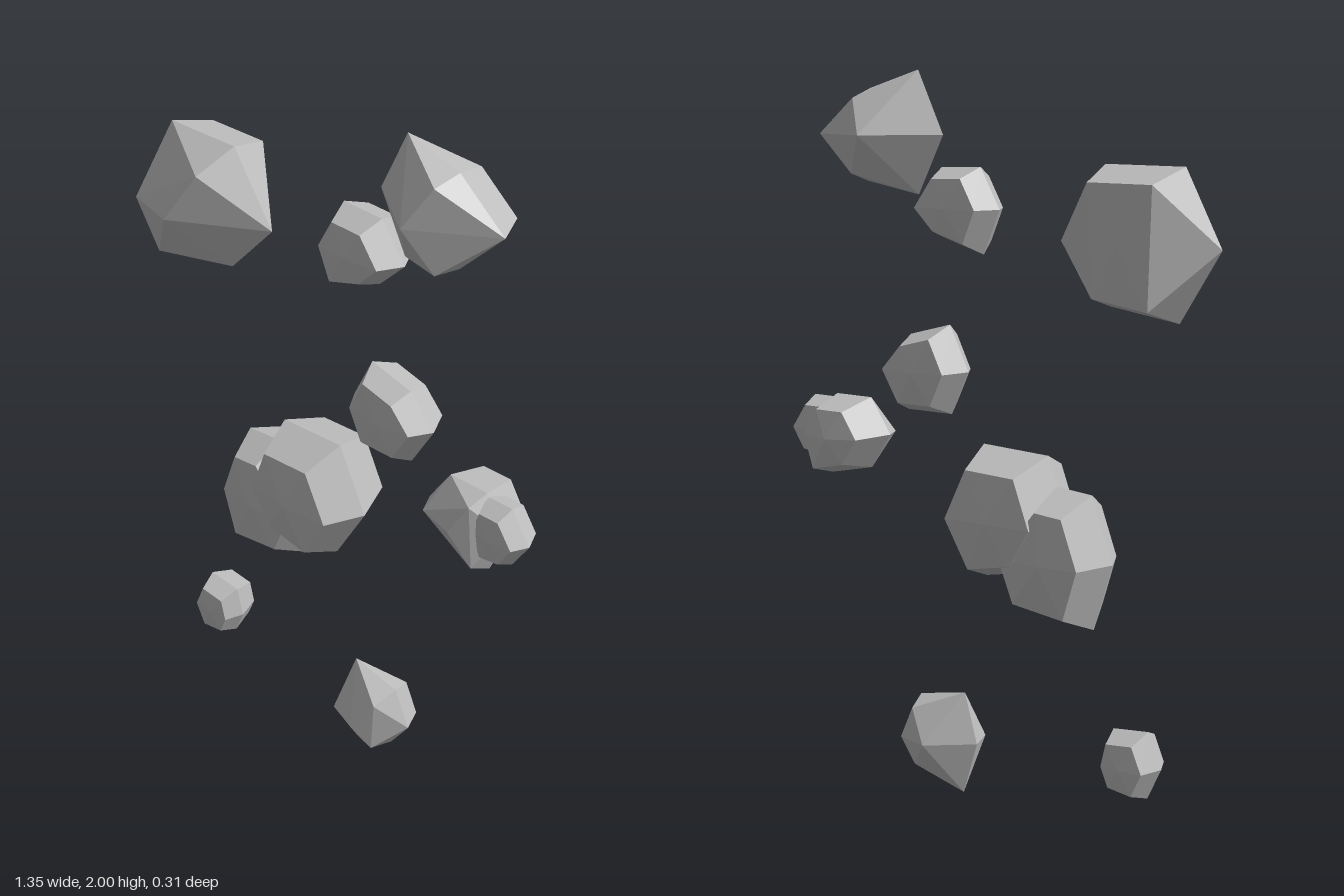
import * as THREE from 'three';
import { ConvexGeometry } from 'three/addons/geometries/ConvexGeometry.js';

// Ways a stone swells from its six-cornered rim: which rim corners are repeated
// closer to the middle, how far in, and how deep relative to the central point.
// Corners run clockwise from the upper left.
const PEAK = { corners: [1, 3], inset: 0.9, lift: 0.65 };
const TRIPLE_PEAK = { corners: [1, 3, 5], inset: 0.8, lift: 0.7 };
const LEFT_PEAK = { corners: [1, 4, 5], inset: 0.7, lift: 0.7 };
const RIGHT_PEAK = { corners: [1, 2, 3], inset: 0.8, lift: 0.65 };
const SLAB = { corners: [0, 1, 3, 4], inset: 0.8, lift: 0.95 };
const CUT = { corners: [0, 1, 2, 3, 4, 5], inset: 0.74, lift: 0.86 };

// Raised corners of one side, plus its central point
function swell(rim, middle, { corners, inset, lift }, depth) {
  const raised = corners.map((i) => middle.clone().lerp(rim[i], inset).setZ(depth * lift));
  return [...raised, middle.clone().setZ(depth)];
}

export function createModel() {
  const model = new THREE.Group();
  model.name = 'floatingStones';

  const stoneGrey = new THREE.MeshStandardMaterial({ color: 0xbcbcbc });
  stoneGrey.name = 'stone grey';

  // top and bottom: left x, y, right x, y; sides: left x, right x, shared y
  function addStone(name, top, sides, bottom, frontStyle, front, backStyle, back) {
    const rim = [
      [top[0], top[1]], [top[2], top[3]], [sides[1], sides[2]],
      [bottom[2], bottom[3]], [bottom[0], bottom[1]], [sides[0], sides[2]],
    ].map(([x, y]) => new THREE.Vector3(x, y, 0));
    const middle = new THREE.Vector3();
    rim.forEach((corner) => middle.addScaledVector(corner, 1 / rim.length));
    const stone = new THREE.Mesh(new ConvexGeometry([
      ...rim,
      ...swell(rim, middle, frontStyle, front),
      ...swell(rim, middle, backStyle, -back),
    ]), stoneGrey);
    stone.name = name;
    model.add(stone);
  }

  // Upper cluster
  addStone('largeUpperStone', [-0.57, 1.77, -0.34, 1.77], [-0.675, -0.21, 1.57], [-0.56, 1.38, -0.36, 1.41], LEFT_PEAK, 0.155, SLAB, 0.135);
  addStone('topStone', [0.24, 2, 0.4, 1.95], [0.16, 0.54, 1.83], [0.24, 1.67, 0.41, 1.7], PEAK, 0.13, RIGHT_PEAK, 0.15);
  addStone('smallUpperStone', [0.04, 1.75, 0.165, 1.745], [-0.02, 0.24, 1.64], [0.03, 1.52, 0.16, 1.56], CUT, 0.075, CUT, 0.085);

  // Middle cluster
  addStone('middleStone', [0.14, 1.325, 0.27, 1.29], [0.08, 0.35, 1.2], [0.135, 1.08, 0.28, 1.08], CUT, 0.068, CUT, 0.09);
  addStone('sideStone', [0.41, 1.1, 0.53, 1.1], [0.345, 0.59, 1], [0.41, 0.9, 0.55, 0.87], TRIPLE_PEAK, 0.085, CUT, 0.135);
  addStone('sidePebble', [0.53, 1.09, 0.61, 1.09], [0.5, 0.67, 1], [0.54, 0.91, 0.62, 0.92], CUT, 0.055, CUT, 0.067);
  addStone('largeCentreStone', [-0.175, 1, 0.03, 1.01], [-0.24, 0.12, 0.82], [-0.16, 0.68, 0.02, 0.645], CUT, 0.13, CUT, 0.15);
  addStone('lowerCentreStone', [-0.31, 0.91, -0.2, 0.92], [-0.375, -0.05, 0.73], [-0.32, 0.545, -0.11, 0.575], CUT, 0.1, CUT, 0.14);

  // Lower stones
  addStone('lowerPebble', [-0.49, 0.295, -0.385, 0.285], [-0.53, -0.365, 0.198], [-0.49, 0.11, -0.395, 0.125], CUT, 0.065, CUT, 0.08);
  addStone('bottomStone', [0.095, 0.295, 0.245, 0.265], [0.055, 0.295, 0.15], [0.1, 0, 0.235, 0.06], TRIPLE_PEAK, 0.11, RIGHT_PEAK, 0.1);

  return model;
}
